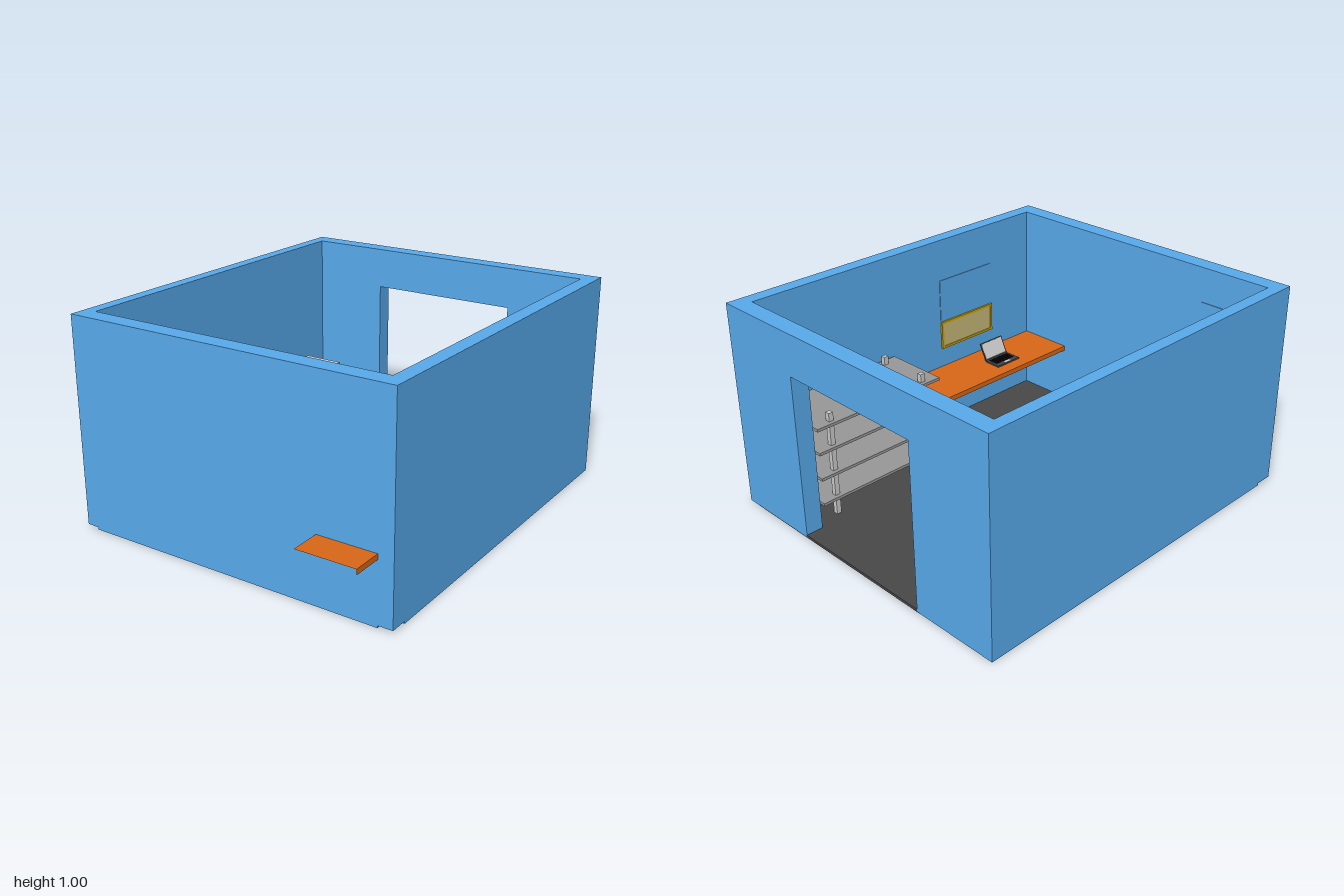
import * as THREE from 'three';

const paint = (color, extra = {}) => new THREE.MeshStandardMaterial({ color, ...extra });
const blue = paint(0x58aaec);
const orange = paint(0xd96718);
const dark = paint(0x484848);
const black = paint(0x0c0c0c);
const light = paint(0xcccccc);
const steel = paint(0x989898);
const gold = paint(0xd2a500);
const cork = paint(0xc8b877);

// Box given by its extents on each axis
function box(parent, name, [x0, x1], [y0, y1], [z0, z1], material) {
  const mesh = new THREE.Mesh(new THREE.BoxGeometry(x1 - x0, y1 - y0, z1 - z0), material);
  mesh.position.set((x0 + x1) / 2, (y0 + y1) / 2, (z0 + z1) / 2);
  mesh.name = name;
  parent.add(mesh);
  return mesh;
}

// Floor plan of [x, z] points raised from y0 to y1
function plan(parent, name, points, y0, y1, material) {
  const shape = new THREE.Shape(points.map(([x, z]) => new THREE.Vector2(x, -z)));
  const geometry = new THREE.ExtrudeGeometry(shape, { depth: y1 - y0, bevelEnabled: false });
  geometry.rotateX(-Math.PI / 2).translate(0, y0, 0);
  const mesh = new THREE.Mesh(geometry, material);
  mesh.name = name;
  parent.add(mesh);
}

// Disc whose axis runs along x
function disc(parent, name, x, y, z, radius, depth, material) {
  const mesh = new THREE.Mesh(new THREE.CylinderGeometry(radius, radius, depth, 32), material);
  mesh.rotation.z = Math.PI / 2;
  mesh.position.set(x, y, z);
  mesh.name = name;
  parent.add(mesh);
}

function group(parent, name) {
  const g = new THREE.Group();
  g.name = name;
  parent.add(g);
  return g;
}

function buildRoom(root) {
  const room = group(root, 'room');
  // Walls with a doorway in the back
  plan(room, 'walls', [
    [0.37, -1], [0.81, -1], [0.81, 0.855], [-0.81, 0.855], [-0.81, -1], [-0.375, -1],
    [-0.375, -0.915], [-0.75, -0.915], [-0.75, 0.77], [0.74, 0.77], [0.74, -0.915], [0.37, -0.915],
  ], 0.012, 1, blue);
  box(room, 'doorLintel', [-0.375, 0.37], [0.8, 1], [-1, -0.915], blue);
  // Base slab, notched at the two front corners
  plan(room, 'base', [
    [-0.81, -1], [0.81, -1], [0.81, 0.77], [0.74, 0.77], [0.74, 0.855],
    [-0.75, 0.855], [-0.75, 0.77], [-0.81, 0.77],
  ], 0.001, 0.012, blue);
  box(room, 'floor', [-0.75, 0.74], [0.01, 0.014], [-0.915, 0.77], dark);
  box(room, 'threshold', [-0.375, 0.37], [0.002, 0.014], [-1.0005, -0.915], dark);
  box(room, 'underPlate', [-0.39, 0.74], [0, 0.004], [-1, -0.58], dark);

  // Inner door on the front wall with an angled handle
  const door = group(room, 'innerDoor');
  box(door, 'doorLeaf', [-0.72, -0.4], [0.014, 0.83], [0.766, 0.772], blue);
  box(door, 'handleStem', [-0.478, -0.468], [0.4, 0.412], [0.722, 0.768], gold);
  box(door, 'handleGrip', [-0.535, -0.468], [0.4, 0.412], [0.722, 0.73], gold);

  // Framed board and the flat panel above it
  const board = group(room, 'wallBoard');
  box(board, 'wallPanel', [0.737, 0.742], [0.57, 0.79], [0.15, 0.5], blue);
  box(board, 'boardFace', [0.734, 0.741], [0.43, 0.555], [0.16, 0.49], cork);
  for (const y of [0.42, 0.555]) box(board, 'boardRail', [0.73, 0.741], [y, y + 0.012], [0.15, 0.5], gold);
  for (const z of [0.15, 0.488]) box(board, 'boardStile', [0.73, 0.741], [0.432, 0.555], [z, z + 0.012], gold);
}

function buildDesk(root) {
  const desk = group(root, 'desk');
  const top = box(desk, 'deskTop', [0.455, 0.738], [0.295, 0.32], [-0.06, 1], orange);
  // The end beyond the wall is open: drop the +z face
  const index = Array.from(top.geometry.index.array);
  index.splice(24, 6);
  top.geometry.setIndex(index);
  top.geometry.clearGroups();
  box(desk, 'deskLeg', [0.455, 0.738], [0.014, 0.295], [-0.06, -0.03], orange);

  // Laptop facing the room
  const laptop = group(desk, 'laptop');
  box(laptop, 'laptopBase', [0.522, 0.615], [0.32, 0.328], [0.34, 0.49], dark);
  box(laptop, 'touchpad', [0.525, 0.541], [0.328, 0.329], [0.395, 0.435], light);
  for (let row = 0; row < 4; row++)
    for (let col = 0; col < 9; col++) {
      const x = 0.547 + row * 0.014, z = 0.354 + col * 0.0138;
      box(laptop, 'key', [x, x + 0.011], [0.328, 0.331], [z, z + 0.011], black);
    }
  const lid = group(laptop, 'lid');
  lid.position.set(0.613, 0.328, 0.415);
  lid.rotation.z = -0.46;
  box(lid, 'lidShell', [0, 0.006], [0, 0.092], [-0.075, 0.075], dark);
  box(lid, 'screen', [-0.001, 0], [0.007, 0.086], [-0.069, 0.069], light);
}

function buildRack(root) {
  const rack = group(root, 'storageRack');
  for (const y of [0.1, 0.23, 0.36, 0.48])
    box(rack, 'rackShelf', [0.39, 0.72], [y, y + 0.014], [-0.88, -0.175], steel);
  for (const x of [0.422, 0.687])
    for (const z of [-0.79, -0.26])
      box(rack, 'rackPost', [x - 0.012, x + 0.012], [0.014, 0.535], [z - 0.012, z + 0.012], light);
}

function buildStereo(root) {
  const stereo = group(root, 'stereo');
  box(stereo, 'cabinet', [-0.75, -0.52], [0.014, 0.25], [-0.535, 0], black);
  // Amplifier with three knobs
  box(stereo, 'amplifier', [-0.702, -0.588], [0.25, 0.365], [-0.467, -0.067], light);
  for (const z of [-0.41, -0.267, -0.13])
    disc(stereo, 'knob', -0.583, 0.307, z, z === -0.267 ? 0.03 : 0.016, 0.012, dark);
  // Speakers either side
  for (const z of [-0.64, 0.101]) {
    const speaker = group(stereo, 'speaker');
    box(speaker, 'speakerBox', [-0.725, -0.516], [0.014, 0.4], [z - 0.1, z + 0.1], light);
    disc(speaker, 'tweeter', -0.515, 0.3, z, 0.052, 0.008, dark);
    disc(speaker, 'woofer', -0.515, 0.135, z, 0.072, 0.008, dark);
  }
}

export function createModel() {
  const root = new THREE.Group();
  root.name = 'furnishedRoom';
  buildRoom(root);
  buildDesk(root);
  buildRack(root);
  buildStereo(root);
  return root;
}
